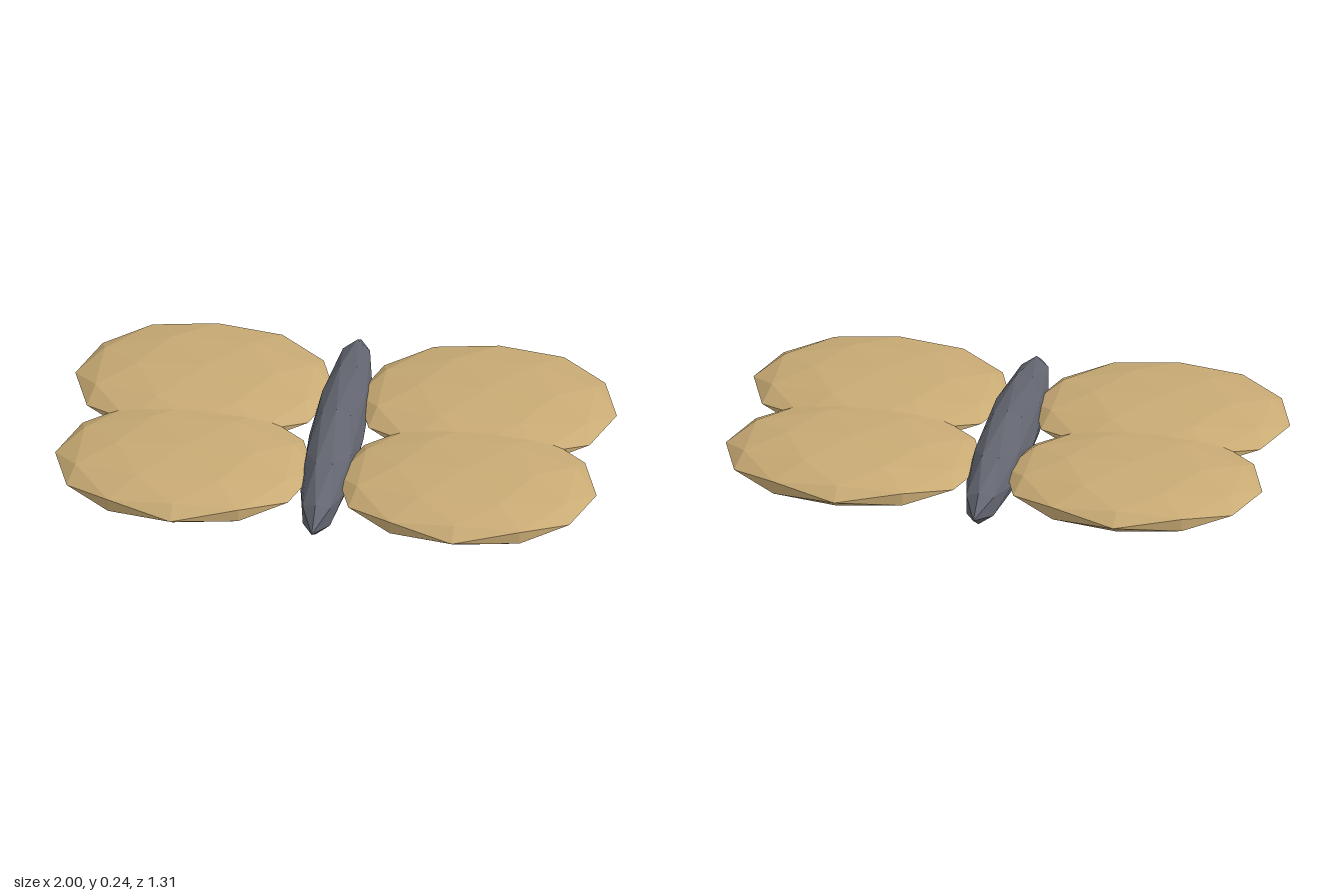
import * as THREE from 'three';

const wingTan = new THREE.MeshStandardMaterial({ name: 'wing tan', color: 0xc8aa74, flatShading: true });
const bodyGrey = new THREE.MeshStandardMaterial({ name: 'body slate grey', color: 0x62656f, flatShading: true });

// Faceted ellipsoid given by its centre and its three radii
function ellipsoid(name, material, centre, radii) {
  const geometry = new THREE.IcosahedronGeometry(1, 1);
  geometry.scale(...radii);
  geometry.computeVertexNormals();
  const mesh = new THREE.Mesh(geometry, material);
  mesh.name = name;
  mesh.position.set(...centre);
  return mesh;
}

export function createModel() {
  const model = new THREE.Group();
  model.name = 'butterfly';

  // Slender body along z
  model.add(ellipsoid('body', bodyGrey, [0, 0.12, -0.01], [0.1, 0.12, 0.645]));

  // Four flat wings, mirrored left/right and front/back
  for (const [side, sx] of [['left', 1], ['right', -1]]) {
    for (const [end, sz] of [['Front', 1], ['Back', -1]]) {
      model.add(ellipsoid(`${side}${end}Wing`, wingTan, [sx * 0.52, 0.14, sz * 0.263], [0.48, 0.078, 0.39]));
    }
  }
  return model;
}
